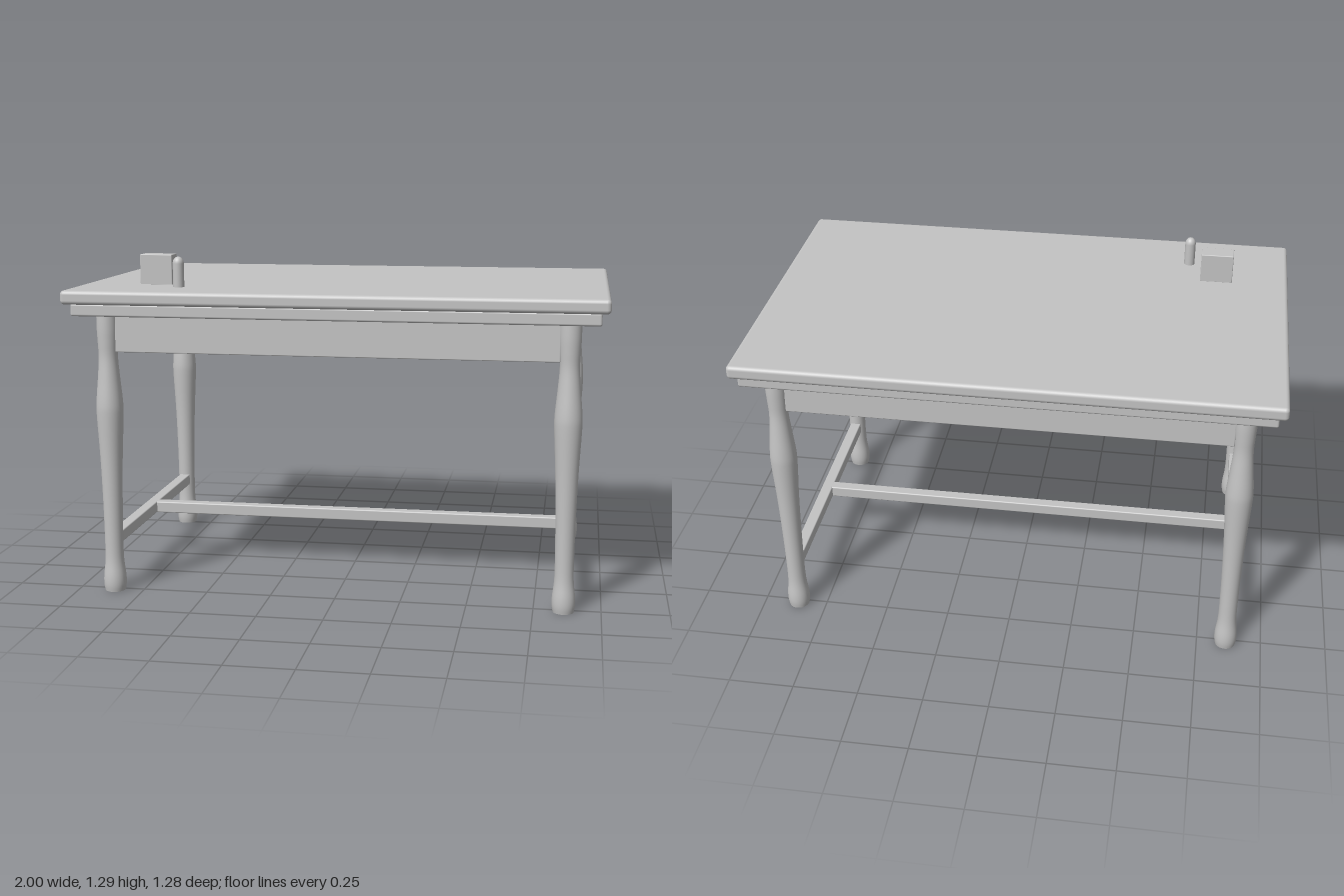
import * as THREE from 'three';
import { RoundedBoxGeometry } from 'three/addons/geometries/RoundedBoxGeometry.js';

export function createModel() {
  const table = new THREE.Group();
  table.name = 'table';
  const grey = new THREE.MeshStandardMaterial({ color: 0xc4c4c4 });
  grey.name = 'plain grey';

  const LEG_X = 0.861, LEG_Z = 0.515;

  function add(name, geometry, x, y, z) {
    const mesh = new THREE.Mesh(geometry, grey);
    mesh.name = name;
    mesh.position.set(x, y, z);
    table.add(mesh);
    return mesh;
  }
  // Box with softened edges, standing on y0 and reaching y1
  function slab(name, w, y0, y1, d, x, z, r) {
    return add(name, new RoundedBoxGeometry(w, y1 - y0, d, 3, r), x, (y0 + y1) / 2, z);
  }

  // Top board and the moulding below it
  slab('tableTop', 2, 1.12, 1.172, 1.28, 0, 0, 0.015);
  slab('topMoulding', 1.94, 1.075, 1.122, 1.224, 0, 0, 0.008);

  // Turned leg: foot, slim ankle, swelling and neck
  const turning = new THREE.SplineCurve([
    [0.039, 0], [0.043, 0.025], [0.0425, 0.06], [0.036, 0.12], [0.035, 0.2],
    [0.037, 0.35], [0.042, 0.52], [0.05, 0.68], [0.05, 0.74], [0.042, 0.83],
    [0.036, 0.91], [0.038, 0.97], [0.04, 1.02], [0.04, 1.08],
  ].map(([r, y]) => new THREE.Vector2(r, y))).getPoints(48);
  const legGeometry = new THREE.LatheGeometry(turning, 32);
  const footCap = new THREE.CircleGeometry(0.039, 32).rotateX(Math.PI / 2);

  for (const sx of [-1, 1]) {
    for (const sz of [-1, 1]) {
      add('leg', legGeometry, sx * LEG_X, 0, sz * LEG_Z);
      add('legBottom', footCap, sx * LEG_X, 0, sz * LEG_Z);
    }
    // Side apron and side stretcher
    slab('sideApron', 0.045, 0.933, 1.08, 0.95, sx * (LEG_X - 0.005), 0, 0.004);
    slab('sideStretcher', 0.045, 0.18, 0.226, 0.97, sx * LEG_X, 0, 0.005);
    // Front and back apron
    slab('longApron', 1.655, 0.933, 1.08, 0.045, 0, sx * (LEG_Z - 0.005), 0.004);
  }
  slab('longStretcher', 1.69, 0.18, 0.226, 0.045, 0, 0, 0.005);

  // Small box and round-ended peg on the board
  slab('smallBox', 0.126, 1.17, 1.286, 0.07, -0.717, 0.314, 0.003);
  const peg = [new THREE.Vector2(0.021, 1.165)];
  for (let i = 0; i <= 10; i++) {
    const a = (i / 10) * Math.PI / 2;
    peg.push(new THREE.Vector2(0.021 * Math.cos(a), 1.26 + 0.026 * Math.sin(a)));
  }
  add('peg', new THREE.LatheGeometry(peg, 24), -0.605, 0, 0.43);

  return table;
}
